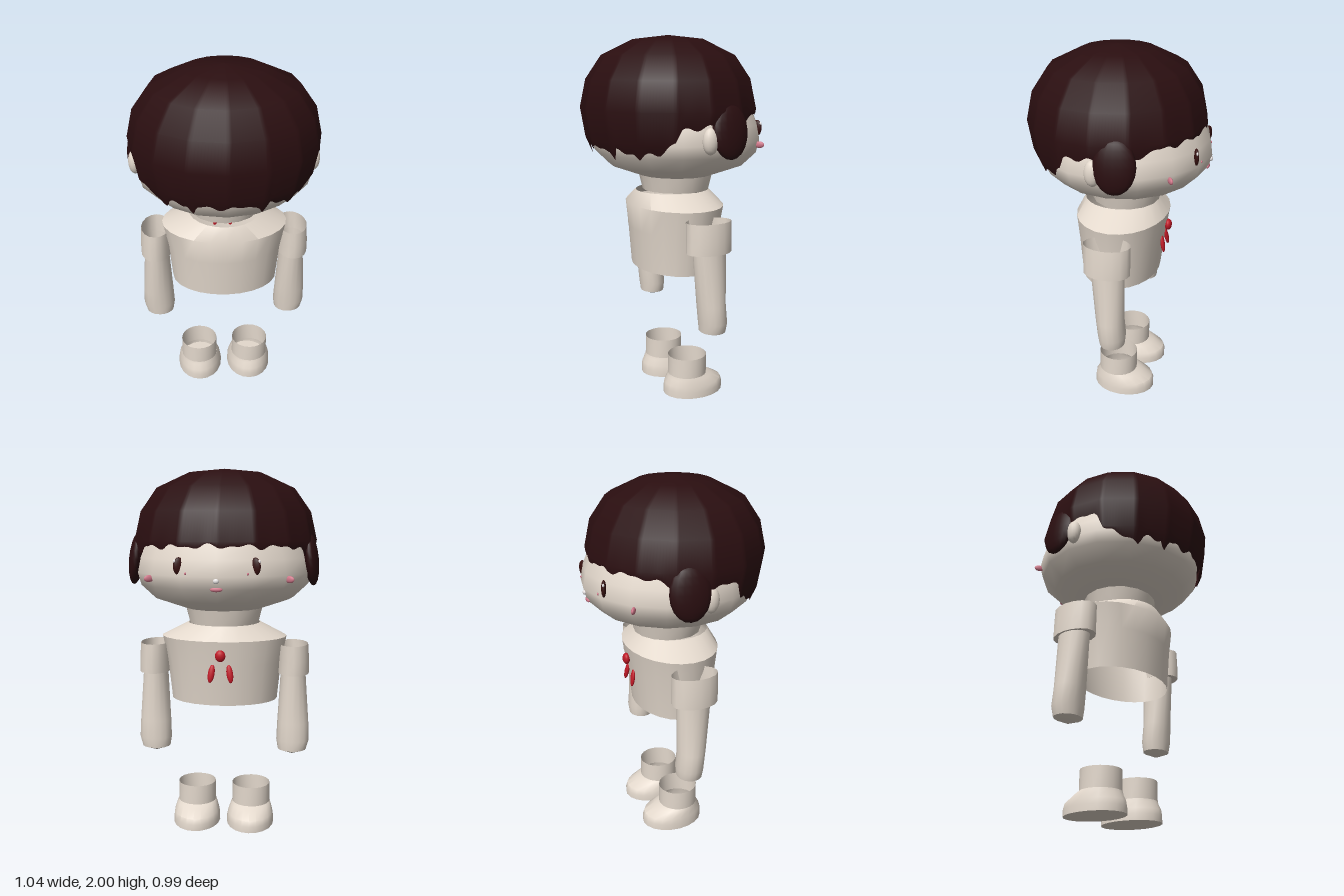
import * as THREE from 'three';
import { toCreasedNormals } from 'three/addons/utils/BufferGeometryUtils.js';

const mat = (name, color, side = THREE.FrontSide) => {
  const m = new THREE.MeshStandardMaterial({ color, side });
  m.name = name;
  return m;
};

// Surface through elliptical rings [y, centreX, centreZ, radiusX, radiusZ], listed bottom to top
function loft(rings, sides = 16) {
  const pos = [], idx = [];
  for (const [y, cx, cz, rx, rz] of rings)
    for (let j = 0; j < sides; j++) {
      const a = (j / sides) * Math.PI * 2;
      pos.push(cx + rx * Math.sin(a), y, cz + rz * Math.cos(a));
    }
  for (let i = 0; i < rings.length - 1; i++)
    for (let j = 0; j < sides; j++) {
      const k = (j + 1) % sides, a = i * sides + j, b = i * sides + k;
      idx.push(a, b, b + sides, a, b + sides, a + sides);
    }
  const g = new THREE.BufferGeometry();
  g.setAttribute('position', new THREE.Float32BufferAttribute(pos, 3));
  g.setIndex(idx);
  return toCreasedNormals(g, 0.8);
}

// Linear interpolation through [x, value] pairs with ascending x
function lerpTable(table, x) {
  for (let i = 1; i < table.length; i++) {
    const [x0, v0] = table[i - 1], [x1, v1] = table[i];
    if (x <= x1) return v0 + ((v1 - v0) * Math.max(0, x - x0)) / (x1 - x0);
  }
  return table[table.length - 1][1];
}

// Sixteen-sided cap of hair with a ragged lower edge
function hairGeometry() {
  const profile = [[1.35, 0.405], [1.46, 0.452], [1.62, 0.478], [1.77, 0.445], [1.895, 0.36], [1.978, 0.19], [2, 0]];
  const hairline = [[0, 1.42], [0.34, 1.42], [0.4, 1.36], [0.46, 1.42], [0.68, 1.41], [0.75, 1.38], [0.82, 1.4],
    [1.02, 1.42], [1.18, 1.47], [1.25, 1.54], [2.0, 1.55], [2.25, 1.59], [3.2, 1.6]];
  const cols = 192, step = Math.PI / 8, pos = [], idx = [];
  for (const [level] of profile)
    for (let j = 0; j < cols; j++) {
      const a = (j / cols) * Math.PI * 2, phi = Math.min(a, Math.PI * 2 - a);
      const jag = 0.009 * Math.sin(a * 17) + 0.007 * Math.sin(a * 29 + 1);
      const y = Math.max(level, Math.min(1.9, lerpTable(hairline, phi) + jag));
      const r = lerpTable(profile, y);
      const a0 = Math.floor(a / step + 1e-6) * step, t = a / step - a0 / step;
      const s = Math.sin(a0) * (1 - t) + Math.sin(a0 + step) * t;
      const c = Math.cos(a0) * (1 - t) + Math.cos(a0 + step) * t;
      pos.push(s * r * 1.06, y, 0.018 + c * r);
    }
  for (let i = 0; i < profile.length - 1; i++)
    for (let j = 0; j < cols; j++) {
      const k = (j + 1) % cols, a = i * cols + j, b = i * cols + k;
      idx.push(a, b, b + cols, a, b + cols, a + cols);
    }
  const g = new THREE.BufferGeometry();
  g.setAttribute('position', new THREE.Float32BufferAttribute(pos, 3));
  g.setIndex(idx);
  g.computeVertexNormals();
  return g;
}

export function createModel() {
  const model = new THREE.Group();
  model.name = 'figure';
  const skin = mat('skin', 0xe3d8cc, THREE.DoubleSide);
  const hair = mat('darkHair', 0x2a0e10, THREE.DoubleSide);
  const eye = mat('eyeBrown', 0x35100f);
  const pink = mat('pink', 0xd0788a);
  const red = mat('red', 0xc01826);
  const white = mat('white', 0xf2eeee);

  const add = (name, geo, material) => {
    const m = new THREE.Mesh(geo, material);
    m.name = name;
    model.add(m);
    return m;
  };
  const blob = (name, material, p, r, ry = 0, rz = 0, rx = 0) => {
    const m = add(name, new THREE.SphereGeometry(1, 16, 10), material);
    m.position.set(...p);
    m.scale.set(...r);
    m.rotation.set(rx, ry, rz);
    return m;
  };

  // Head with neck, and the hair over it
  const headProfile = [[1.165, 0.185], [1.25, 0.205], [1.31, 0.37], [1.385, 0.447], [1.45, 0.464],
    [1.53, 0.448], [1.6, 0.42], [1.72, 0.37], [1.84, 0.25], [1.9, 0]];
  add('head', loft(headProfile.map(([y, r]) => [y, 0, -0.028, r * 1.04, r])), skin);
  add('hair', hairGeometry(), hair);

  // Torso, open at the hem
  add('torso', loft([
    [0.73, 0, -0.005, 0.3, 0.217],
    [0.95, 0, -0.01, 0.322, 0.238],
    [1.09, 0, -0.015, 0.35, 0.255],
    [1.165, 0, -0.005, 0.2, 0.205],
  ], 24), skin);

  for (const s of [1, -1]) {
    const side = s > 0 ? 'left' : 'right';

    // Arm, hand end and open sleeve cuff
    add(side + 'Arm', loft([
      [0.415, s * 0.39, -0.055, 0, 0],
      [0.445, s * 0.39, -0.055, 0.08, 0.07],
      [0.5, s * 0.393, -0.055, 0.092, 0.076],
      [0.6, s * 0.393, -0.045, 0.088, 0.077],
      [0.88, s * 0.39, -0.033, 0.07, 0.092],
      [0.96, s * 0.39, -0.03, 0.07, 0.092],
    ]), skin);
    add(side + 'Cuff', loft([
      [0.89, s * 0.39, -0.03, 0.07, 0.09],
      [0.885, s * 0.392, -0.028, 0.087, 0.127],
      [0.96, s * 0.392, -0.028, 0.086, 0.128],
      [1.05, s * 0.388, -0.028, 0.083, 0.128],
    ]), skin);

    // Shoe with closed sole, and the open ankle
    add(side + 'Shoe', loft([
      [0, s * 0.155, -0.0625, 0, 0],
      [0, s * 0.155, -0.0625, 0.135, 0.177],
      [0.035, s * 0.155, -0.0625, 0.134, 0.177],
      [0.065, s * 0.156, -0.06, 0.129, 0.17],
      [0.1, s * 0.157, -0.037, 0.117, 0.128],
      [0.115, s * 0.157, -0.025, 0.11, 0.111],
    ], 20), skin);
    add(side + 'Ankle', loft([
      [0.11, s * 0.157, -0.025, 0.109, 0.11],
      [0.225, s * 0.157, -0.025, 0.108, 0.11],
    ], 20), skin);

    // Ear and the lock of hair over it
    blob(side + 'Ear', skin, [s * 0.475, 1.475, 0.015], [0.035, 0.068, 0.042]);
    blob(side + 'SideLock', hair, [s * 0.475, 1.52, -0.095], [0.04, 0.142, 0.107], s * 0.12, s * 0.12);

    // Eye with highlights, and cheek blush
    blob(side + 'Eye', eye, [s * 0.19, 1.5, -0.438], [0.03, 0.045, 0.014], s * 0.4);
    blob(side + 'EyeHighlight', white, [s * 0.21, 1.525, -0.447], [0.008, 0.009, 0.006], s * 0.4);
    blob(side + 'EyeGlint', pink, [s * 0.155, 1.465, -0.46], [0.006, 0.007, 0.005], s * 0.4);
    blob(side + 'Blush', pink, [s * 0.36, 1.43, -0.345], [0.028, 0.018, 0.01], s * 0.6);

    // Ribbon tail
    blob(side + 'RibbonTail', red, [s * 0.05, 0.915, -0.252], [0.018, 0.05, 0.012], 0, s * 0.15, 0.18);
  }

  // Nose, mouth and ribbon knot
  blob('nose', white, [0, 1.43, -0.487], [0.015, 0.013, 0.01]);
  blob('mouth', pink, [0, 1.388, -0.472], [0.032, 0.012, 0.01]);
  blob('ribbonKnot', red, [0, 1.015, -0.27], [0.028, 0.032, 0.02]);

  return model;
}
